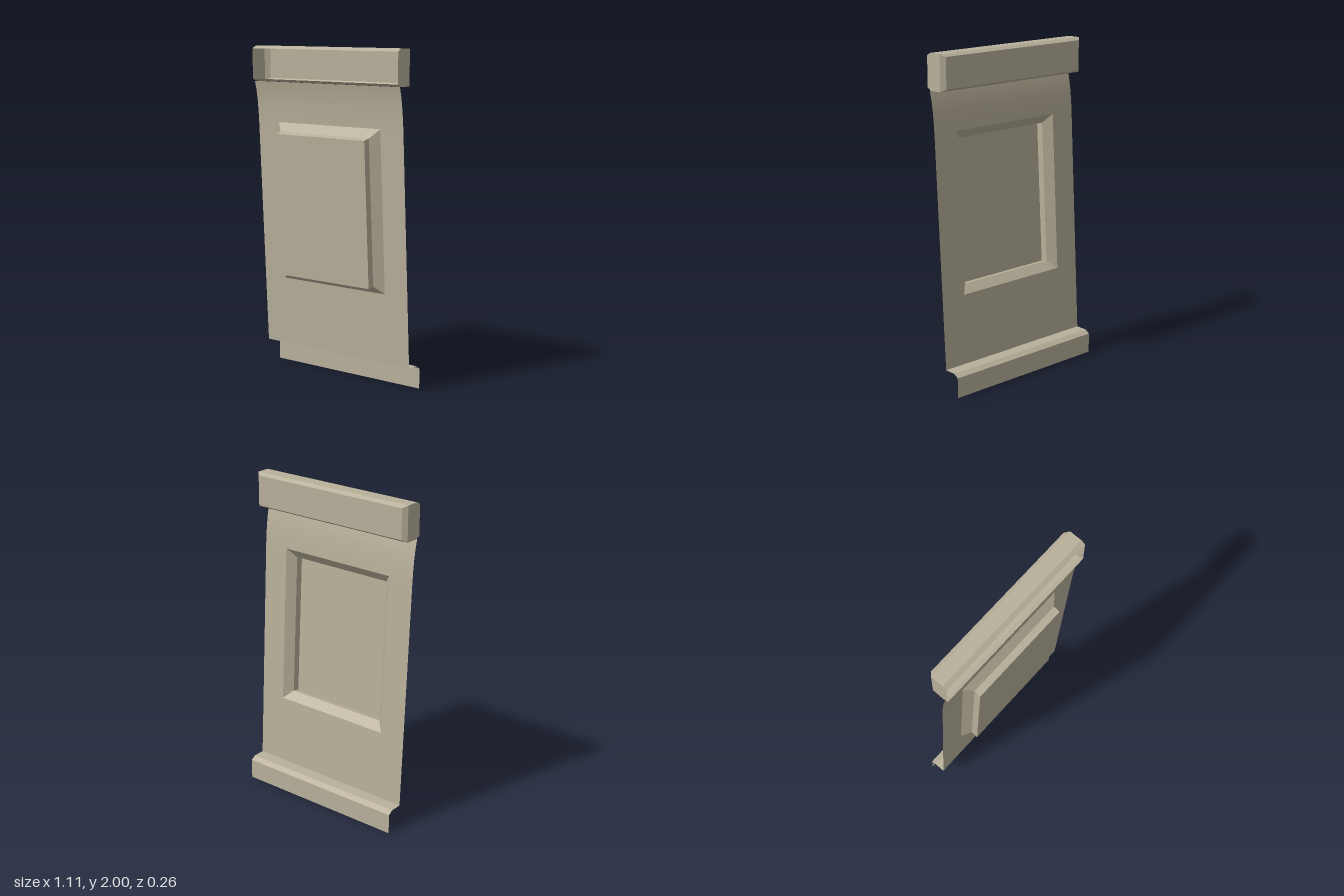
import * as THREE from 'three';
import { toCreasedNormals } from 'three/addons/utils/BufferGeometryUtils.js';

const HALF = 0.555;
const material = new THREE.MeshStandardMaterial({ color: 0xb8b09a, side: THREE.DoubleSide });

// Skin a surface over successive rows of [x, y, z] points
function loft(name, rows, closed = false) {
  const pos = [];
  for (let i = 0; i < rows.length - 1; i++) {
    const a = rows[i], b = rows[i + 1], n = a.length;
    for (let j = 0; j < (closed ? n : n - 1); j++) {
      const k = (j + 1) % n;
      pos.push(...a[j], ...a[k], ...b[k], ...a[j], ...b[k], ...b[j]);
    }
  }
  const geo = new THREE.BufferGeometry();
  geo.setAttribute('position', new THREE.Float32BufferAttribute(pos, 3));
  const mesh = new THREE.Mesh(toCreasedNormals(geo, 0.3), material);
  mesh.name = name;
  return mesh;
}

// Strip spanning x0..x1 along a [y, z] profile
const strip = (name, profile, x0 = -HALF, x1 = HALF) =>
  loft(name, profile.map(([y, z]) => [[x0, y, z], [x1, y, z]]));

// Depth of the leaning sheet at height y
const lean = (y) => -0.035 + 0.053 * y;

export function createModel() {
  const group = new THREE.Group();
  group.name = 'wallPanel';

  // Leaning sheet, left open behind the raised window
  const hx = 0.39, hy0 = 0.567, hy1 = 1.54;
  const sheet = new THREE.Group();
  sheet.name = 'sheet';
  sheet.add(strip('lowerSheet', [[0.145, lean(0.145)], [hy0, lean(hy0)]]));
  for (const [name, x0, x1] of [['rightSheet', -HALF, -hx], ['leftSheet', hx, HALF]]) {
    sheet.add(strip(name, [[hy0, lean(hy0)], [hy1, lean(hy1)]], x0, x1));
  }
  // Upper part flares forward to meet the header
  sheet.add(strip('upperSheet', [[hy1, lean(hy1)], [1.6, 0.051], [1.665, 0.058], [1.73, 0.068], [1.787, 0.082]]));
  group.add(sheet);

  // Ledge and skirting set back at the foot
  group.add(strip('skirting', [[0, -0.13], [0.123, -0.13], [0.143, -0.1], [0.145, lean(0.145)]]));

  // Raised window: bevel, straight rim, pane
  const ring = (x, y0, z0, y1, z1) => [[-x, y0, z0], [x, y0, z0], [x, y1, z1], [-x, y1, z1]];
  const outer = ring(hx, hy0, lean(hy0), hy1, lean(hy1));
  const inner = ring(0.34, 0.615, 0.042, 1.486, 0.088);
  const front = ring(0.34, 0.606, 0.085, 1.476, 0.131);
  const raised = new THREE.Group();
  raised.name = 'raisedWindow';
  raised.add(loft('windowBevel', [outer, inner], true));
  raised.add(loft('windowRim', [inner, front], true));
  raised.add(loft('windowPane', [[front[0], front[1]], [front[3], front[2]]]));
  group.add(raised);

  // Header: hollow trough open at the front; sections are [z, bottom, top, half width]
  const sections = [
    [0.1, 1.802, 1.985, HALF],
    [0.073, 1.787, 2, HALF],
    [-0.008, 1.787, 2, HALF],
    [-0.032, 1.802, 1.985, 0.53],
  ];
  const header = new THREE.Group();
  header.name = 'header';
  const top = sections.map(([z, , y, x]) => [[-x, y, z], [x, y, z]]);
  const bottom = sections.map(([z, y, , x]) => [[-x, y, z], [x, y, z]]);
  header.add(loft('headerShell', [...top, ...bottom.reverse()]));
  for (const s of [1, -1]) {
    const rows = sections.map(([z, y0, y1, x]) =>
      s > 0 ? [[x, y1, z], [x, y0, z]] : [[-x, y0, z], [-x, y1, z]]);
    header.add(loft(s > 0 ? 'leftHeaderEnd' : 'rightHeaderEnd', rows));
  }
  group.add(header);

  return group;
}
